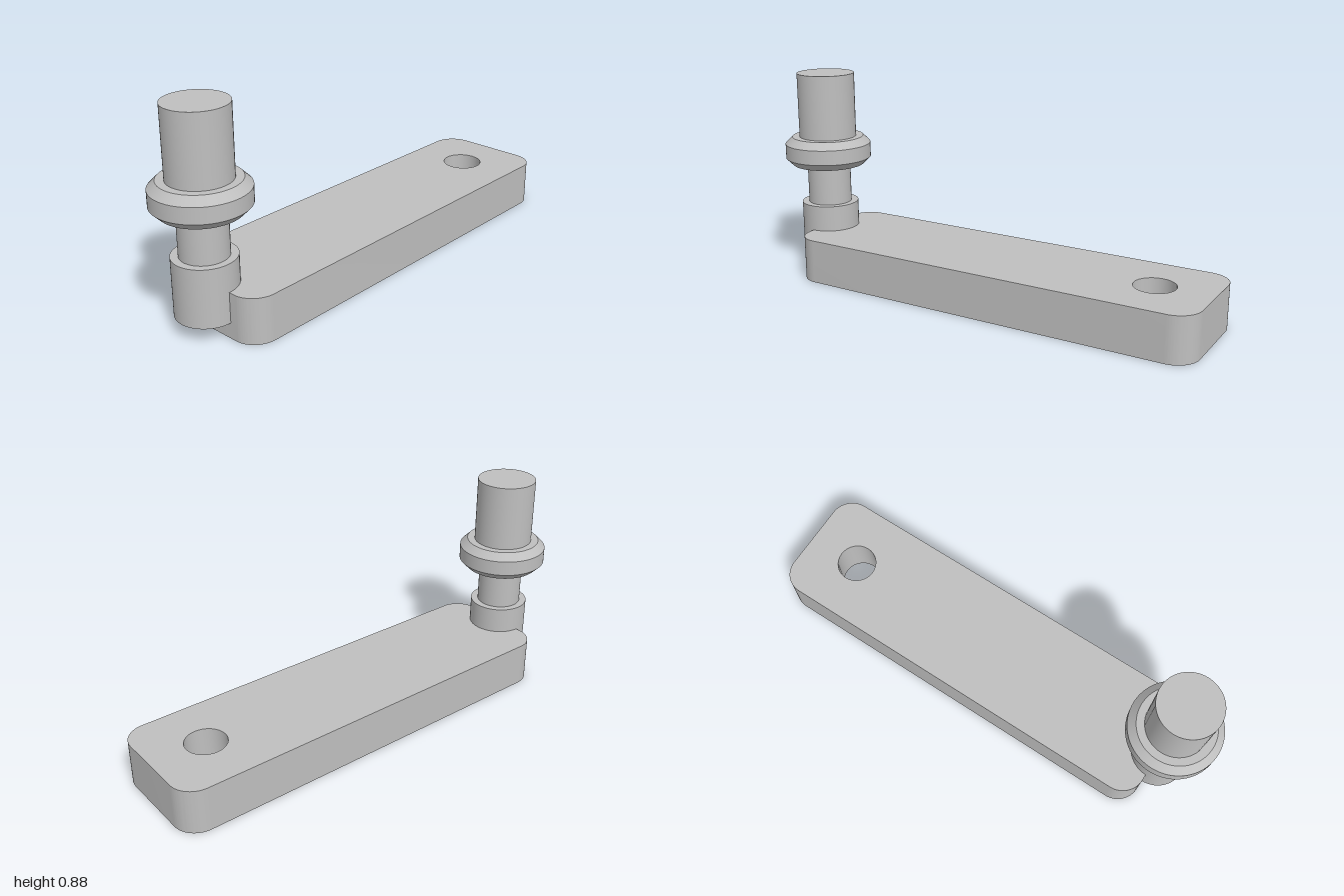
import * as THREE from 'three';
import { toCreasedNormals } from 'three/addons/utils/BufferGeometryUtils.js';

export function createModel() {
  const group = new THREE.Group();
  const steel = new THREE.MeshStandardMaterial({ color: 0xbfbfbf });
  steel.name = 'grey steel';

  const add = (name, geometry, parent) => {
    const mesh = new THREE.Mesh(geometry, steel);
    mesh.name = name;
    parent.add(mesh);
    return mesh;
  };

  // Flat arm: rounded rectangle with a through hole near its far end
  const x0 = -0.812, x1 = 1, h = 0.25, r = 0.1;
  const outline = new THREE.Shape();
  outline.moveTo(x0 + r, -h);
  outline.absarc(x1 - r, -h + r, r, -Math.PI / 2, 0);
  outline.absarc(x1 - r, h - r, r, 0, Math.PI / 2);
  outline.absarc(x0 + r, h - r, r, Math.PI / 2, Math.PI);
  outline.absarc(x0 + r, -h + r, r, Math.PI, Math.PI * 1.5);
  outline.closePath();
  const hole = new THREE.Path();
  hole.absarc(0.76, 0, 0.085, 0, Math.PI * 2, true);
  outline.holes.push(hole);
  const armGeometry = new THREE.ExtrudeGeometry(outline, {
    depth: 0.19, bevelEnabled: false, curveSegments: 16,
  });
  armGeometry.rotateX(-Math.PI / 2);
  add('arm', toCreasedNormals(armGeometry, 0.5), group);

  // Stepped pin standing in the near end of the arm
  const pin = new THREE.Group();
  pin.name = 'pin';
  pin.position.x = -0.812;
  group.add(pin);

  // name, bottom y, top y, bottom radius, top radius, open ended
  const sections = [
    ['pinBase', 0.065, 0.302, 0.125, 0.125, false],
    ['pinNeck', 0.302, 0.475, 0.095, 0.095, true],
    ['collarLowerBevel', 0.475, 0.506, 0.157, 0.188, false],
    ['collarRim', 0.506, 0.57, 0.188, 0.188, true],
    ['collarUpperBevel', 0.57, 0.601, 0.188, 0.157, false],
    ['pinHead', 0.601, 0.883, 0.125, 0.125, false],
  ];
  for (const [name, y0, y1, r0, r1, open] of sections) {
    const geometry = new THREE.CylinderGeometry(r1, r0, y1 - y0, 64, 1, open);
    add(name, geometry, pin).position.y = (y0 + y1) / 2;
  }

  return group;
}
